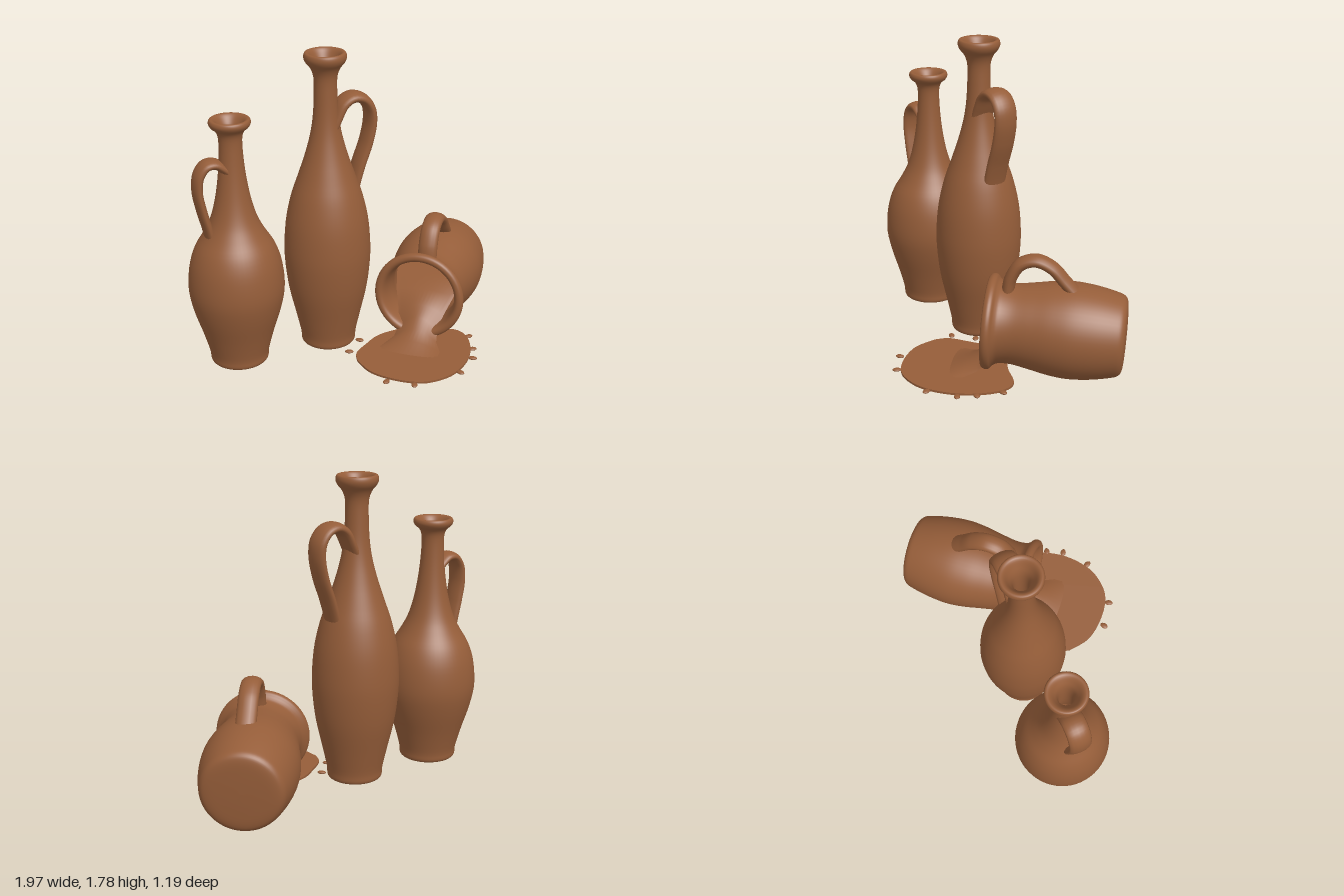
import * as THREE from 'three';

const clay = new THREE.MeshStandardMaterial({ color: 0x955d39, side: THREE.DoubleSide });
clay.name = 'terracotta';

const v2 = (pts) => pts.map(([x, y]) => new THREE.Vector2(x, y));

function add(parent, geometry, name) {
  const mesh = new THREE.Mesh(geometry, clay);
  mesh.name = name;
  parent.add(mesh);
  return mesh;
}

// Smooth turned wall; the profile runs up the outside and down the inside
function turned(profile) {
  return new THREE.LatheGeometry(new THREE.SplineCurve(v2(profile)).getPoints(110), 56);
}

// Flat strap handle: a tube in the xy plane, widened along z
function strap(parent, path, thickness, width) {
  const curve = new THREE.CatmullRomCurve3(path.map(([x, y]) => new THREE.Vector3(x, y, 0)));
  const g = new THREE.TubeGeometry(curve, 56, thickness / 2, 16);
  g.scale(1, 1, width / thickness);
  return add(parent, g, 'handle');
}

function bottle(name, x, profile, path, thickness, width) {
  const g = new THREE.Group();
  g.name = name;
  g.position.set(x, 0, -0.14);
  add(g, turned(profile), 'bottleBody');
  strap(g, path.map(([px, py]) => [px - x, py]), thickness, width);
  return g;
}

// Lying jug: rim centre and axis pointing out of the mouth
const rim = new THREE.Vector3(0.32, 0.31, 0.1);
const out = new THREE.Vector3(-0.665, 0.05, 0.745).normalize();

function jug() {
  const g = new THREE.Group();
  g.name = 'lyingJug';
  const side = new THREE.Vector3(0, 1, 0).cross(out).normalize();
  const up = out.clone().cross(side);
  g.matrixAutoUpdate = true;
  g.quaternion.setFromRotationMatrix(new THREE.Matrix4().makeBasis(up, out, side));
  g.position.copy(rim);
  add(g, turned([
    [0.001, -0.765], [0.1, -0.763], [0.185, -0.757], [0.222, -0.738], [0.24, -0.69], [0.262, -0.58],
    [0.272, -0.46], [0.263, -0.35], [0.243, -0.24], [0.227, -0.14], [0.23, -0.07],
    [0.245, -0.04], [0.265, -0.022], [0.27, 0], [0.258, 0.02], [0.235, 0.022], [0.217, 0.0],
    [0.205, -0.06], [0.2, -0.14], [0.215, -0.24], [0.235, -0.4], [0.225, -0.58], [0.18, -0.7], [0.001, -0.71],
  ]), 'jugBody');
  strap(g, [
    [0.2, -0.09], [0.29, -0.105], [0.375, -0.155], [0.405, -0.24],
    [0.37, -0.33], [0.3, -0.4], [0.24, -0.46], [0.2, -0.5],
  ], 0.07, 0.115).position.z = 0.02;
  return g;
}

// Liquid pouring over the lip: arched cross-sections lofted along the flow
function stream() {
  // distance into the jug, crown height, edge height, half width
  const rows = [
    [0.5, 0.33, 0.33, 0.23], [0.3, 0.32, 0.31, 0.22], [0.15, 0.28, 0.26, 0.18], [0.06, 0.22, 0.17, 0.14],
    [0, 0.165, 0.1, 0.12], [-0.06, 0.115, 0.05, 0.13], [-0.13, 0.07, 0.03, 0.17], [-0.22, 0.03, 0.022, 0.22],
  ];
  const n = 14, pos = [], index = [];
  const dx = out.x, dz = out.z;
  rows.forEach(([t, crown, edge, half], r) => {
    for (let i = 0; i <= n; i++) {
      const s = (i / n) * 2 - 1;
      pos.push(rim.x - dx * t + dz * s * half, edge + (crown - edge) * Math.cos(s * Math.PI / 2),
        rim.z - dz * t - dx * s * half);
      if (r && i) {
        const a = (r - 1) * (n + 1) + i - 1, b = a + n + 1;
        index.push(a, b, a + 1, b, b + 1, a + 1);
      }
    }
  });
  const g = new THREE.BufferGeometry();
  g.setAttribute('position', new THREE.Float32BufferAttribute(pos, 3));
  g.setIndex(index);
  g.computeVertexNormals();
  return g;
}

function spill() {
  const g = new THREE.Group();
  g.name = 'spill';
  // Puddle outline as x, -z
  const outline = new THREE.Shape();
  const pts = v2([
    [-0.12, -0.2], [-0.1, -0.34], [-0.02, -0.46], [0.09, -0.55], [0.2, -0.575], [0.33, -0.55], [0.46, -0.46],
    [0.55, -0.34], [0.595, -0.2], [0.56, -0.1], [0.42, -0.04], [0.28, 0.03], [0.12, 0.02], [0.0, -0.05], [-0.09, -0.12],
  ]);
  outline.moveTo(pts[0].x, pts[0].y);
  outline.splineThru([...pts.slice(1), pts[0]]);
  const puddle = new THREE.ExtrudeGeometry(outline, { depth: 0.012, bevelEnabled: false, curveSegments: 70 });
  puddle.rotateX(-Math.PI / 2);
  puddle.translate(0, 0.018, 0);
  add(g, puddle, 'puddle');
  add(g, stream(), 'pouringLiquid');
  // Drops thrown around the edge
  [[-0.06, 0.47], [0.07, 0.565], [0.37, 0.55], [0.51, 0.44], [0.56, 0.345], [0.61, 0.205],
    [-0.12, 0.08], [-0.01, -0.02]].forEach(([x, z]) => {
    const drop = add(g, new THREE.SphereGeometry(0.022, 14, 10), 'drop');
    drop.scale.set(1.15, 0.4, 0.8);
    drop.position.set(x, 0.024, z);
    drop.rotation.y = -Math.atan2(z - 0.25, x - 0.24);
  });
  return g;
}

export function createModel() {
  const model = new THREE.Group();
  model.name = 'clayVessels';

  model.add(bottle('shortBottle', -0.722, [
    [0.118, 0.05], [0.125, 0.02], [0.15, 0.015], [0.167, 0.03], [0.172, 0.08], [0.204, 0.2], [0.25, 0.35],
    [0.273, 0.48], [0.262, 0.62], [0.228, 0.73], [0.175, 0.82], [0.135, 0.9], [0.105, 1.0], [0.083, 1.12], [0.069, 1.25],
    [0.065, 1.37], [0.078, 1.42], [0.105, 1.445], [0.116, 1.468], [0.109, 1.488], [0.09, 1.486], [0.068, 1.46],
    [0.046, 1.41], [0.039, 1.3], [0.05, 1.12], [0.1, 0.9], [0.19, 0.73], [0.237, 0.48], [0.17, 0.2], [0.125, 0.09], [0.118, 0.05],
  ], [
    [-0.73, 1.17], [-0.775, 1.215], [-0.82, 1.245], [-0.87, 1.24], [-0.91, 1.19], [-0.923, 1.1],
    [-0.902, 0.97], [-0.875, 0.86], [-0.855, 0.74],
  ], 0.055, 0.13));

  model.add(bottle('tallBottle', -0.162, [
    [0.118, 0.05], [0.122, 0.02], [0.145, 0.015], [0.16, 0.03], [0.164, 0.08], [0.19, 0.2], [0.23, 0.38],
    [0.249, 0.55], [0.249, 0.68], [0.235, 0.82], [0.203, 0.96], [0.162, 1.08], [0.122, 1.2], [0.09, 1.32], [0.073, 1.43],
    [0.066, 1.55], [0.066, 1.65], [0.083, 1.705], [0.11, 1.74], [0.12, 1.768], [0.113, 1.793], [0.092, 1.79],
    [0.07, 1.755], [0.045, 1.69], [0.039, 1.57], [0.048, 1.4], [0.1, 1.17], [0.19, 0.88], [0.217, 0.6], [0.16, 0.2], [0.122, 0.09], [0.118, 0.05],
  ], [
    [-0.14, 1.33], [-0.105, 1.41], [-0.06, 1.49], [-0.005, 1.52], [0.055, 1.505], [0.098, 1.45], [0.108, 1.37],
    [0.085, 1.25], [0.035, 1.11], [0.003, 1.0], [-0.015, 0.9],
  ], 0.062, 0.145));

  model.add(jug(), spill());
  return model;
}
